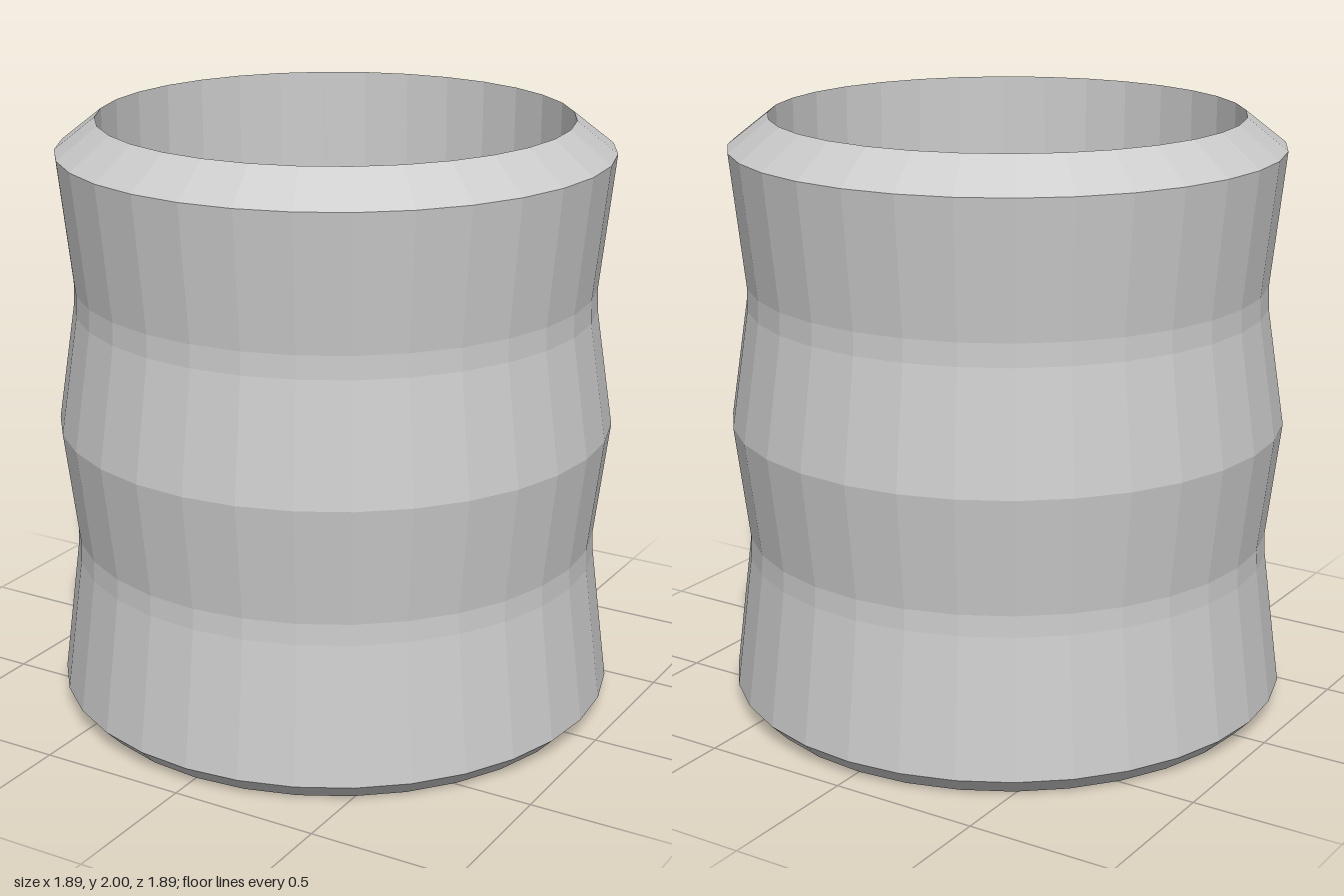
import * as THREE from 'three';

const SIDES = 32;

export function createModel() {
  const group = new THREE.Group();
  const material = new THREE.MeshStandardMaterial({ color: 0xcccccc, flatShading: true });

  // Turns a profile of [radius, height] points around the y axis
  const addTurned = (name, profile) => {
    const points = profile.map(([r, y]) => new THREE.Vector2(r, y));
    const mesh = new THREE.Mesh(new THREE.LatheGeometry(points, SIDES), material);
    mesh.name = name;
    group.add(mesh);
  };

  // Closed base and waisted outer wall, from the underside up to the bevelled rim
  addTurned('outerWall', [
    [0, 0], [0.885, 0], [0.943, 0.06], [0.885, 0.52], [0.882, 0.59], [0.929, 0.98],
    [0.869, 1.375], [0.867, 1.45], [0.914, 1.895], [0.78, 2],
  ]);

  // Hollow inside, from the rim down to the flat floor
  addTurned('innerWall', [[0.78, 2], [0.77, 0.1], [0, 0.1]]);

  return group;
}
